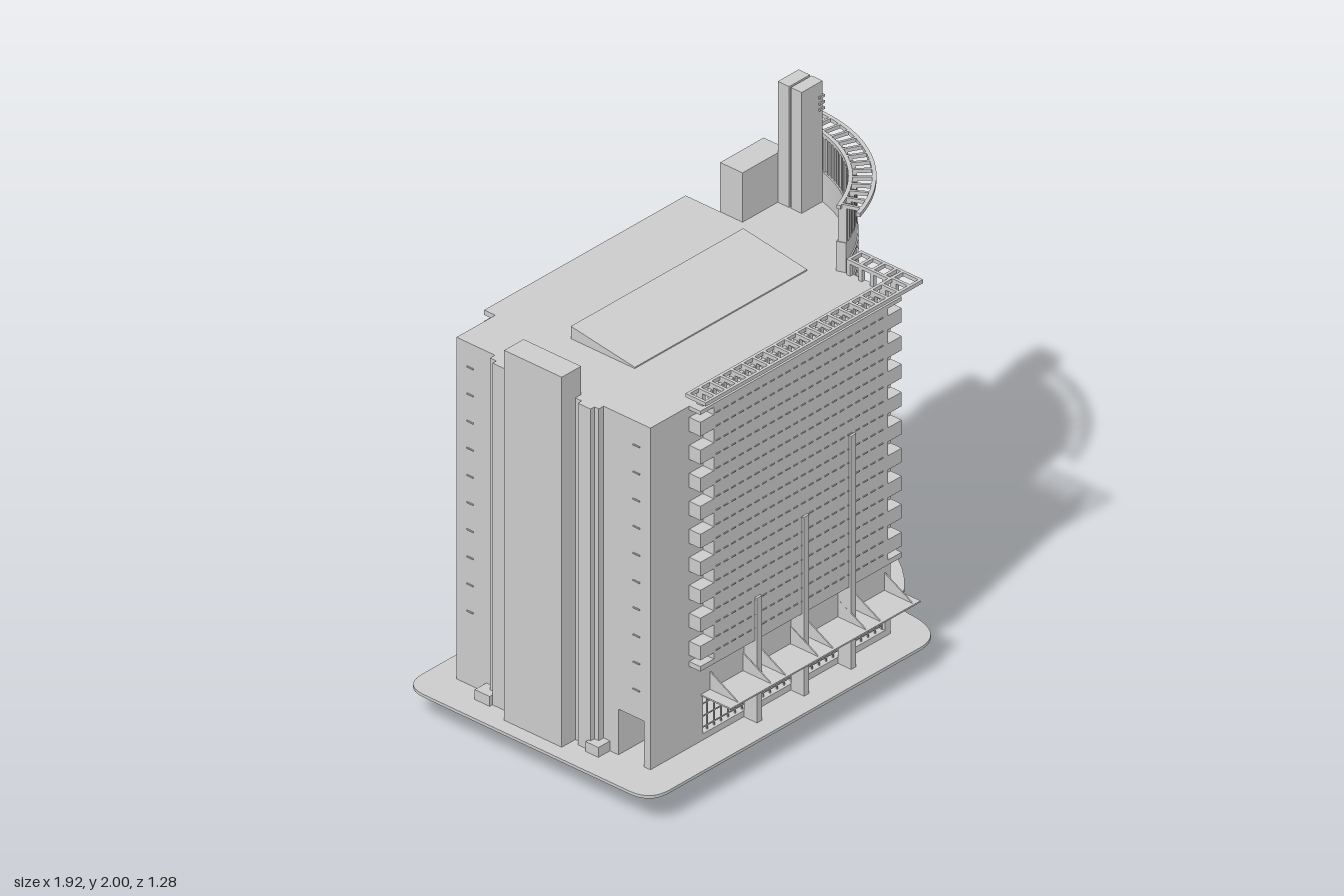
import * as THREE from 'three';
import { mergeGeometries } from 'three/addons/utils/BufferGeometryUtils.js';

const CX = 0.238, CZ = -0.2, WALL = 0.532; // centre and radius of the curved tower
const DEG = Math.PI / 180;

// box given by its min and max corners
function box(x0, x1, y0, y1, z0, z1) {
  return new THREE.BoxGeometry(x1 - x0, y1 - y0, z1 - z0)
    .translate((x0 + x1) / 2, (y0 + y1) / 2, (z0 + z1) / 2);
}

// plan shape (drawn with y = -z) raised from y0 to y1
function prism(shape, y0, y1, seg = 24) {
  return new THREE.ExtrudeGeometry(shape, { depth: y1 - y0, bevelEnabled: false, curveSegments: seg })
    .rotateX(-Math.PI / 2).translate(0, y0, 0);
}

// ring sector about the tower centre, angles from +x towards +z
function arcBand(r0, r1, a0, a1, y0, y1) {
  const s = new THREE.Shape();
  s.absarc(CX, -CZ, r1, -a0 * DEG, -a1 * DEG, true);
  s.absarc(CX, -CZ, r0, -a1 * DEG, -a0 * DEG, false);
  return prism(s, y0, y1);
}

// turn a piece modelled along +x from the origin to an angle on the tower
function onArc(geo, deg) {
  return geo.rotateY(-deg * DEG).translate(CX, 0, CZ);
}

// flat upright plate: outline in (u, y), thickness t, u along +x
function plate(pts, t) {
  const s = new THREE.Shape(pts.map(p => new THREE.Vector2(...p)));
  return new THREE.ExtrudeGeometry(s, { depth: t, bevelEnabled: false }).translate(0, 0, -t / 2);
}

function roundedRect(x0, x1, y0, y1, r) {
  const s = new THREE.Shape();
  s.absarc(x1 - r, y1 - r, r, 0, Math.PI / 2);
  s.absarc(x0 + r, y1 - r, r, Math.PI / 2, Math.PI);
  s.absarc(x0 + r, y0 + r, r, Math.PI, Math.PI * 1.5);
  s.absarc(x1 - r, y0 + r, r, Math.PI * 1.5, Math.PI * 2);
  return s;
}

export function createModel() {
  const root = new THREE.Group();
  const mat = new THREE.MeshStandardMaterial({ color: 0xcccccc, flatShading: true, side: THREE.DoubleSide });
  const add = (name, ...geos) => {
    const m = new THREE.Mesh(mergeGeometries(geos.map(g => g.index ? g.toNonIndexed() : g)), mat);
    m.name = name;
    root.add(m);
  };

  // paved base with a rounded lobe around the tower
  const b = new THREE.Shape();
  b.moveTo(-0.965, 0.42);
  b.quadraticCurveTo(-0.965, 0.52, -0.865, 0.52);
  b.lineTo(0.43, 0.52);
  b.lineTo(0.43, 0.35);
  b.lineTo(0.86, 0.35);
  b.quadraticCurveTo(0.96, 0.35, 0.957, 0.24);
  b.bezierCurveTo(0.94, 0, 0.82, -0.26, 0.63, -0.37);
  b.quadraticCurveTo(0.57, -0.40, 0.57, -0.47);
  b.quadraticCurveTo(0.56, -0.63, 0.44, -0.64);
  b.lineTo(-0.865, -0.64);
  b.quadraticCurveTo(-0.965, -0.64, -0.965, -0.54);
  add('base', prism(b, 0.113, 0.125, 10));

  // main block over an open lobby, with solid end rooms and piers
  add('mainBlock', box(-0.81, 0.43, 0.31, 1.51, -0.41, 0.50));
  add('lobbyWalls',
    box(-0.81, -0.54, 0.12, 0.31, -0.41, 0.35), box(-0.81, -0.54, 0.12, 0.31, 0.47, 0.50),
    box(0.40, 0.43, 0.12, 0.31, -0.41, -0.18), box(0.40, 0.43, 0.12, 0.31, 0.47, 0.50));

  // projecting bays with toothed edges, sills, fins, awnings and lobby glazing
  for (const side of [1, -1]) {
    const wall = side > 0 ? 0.50 : -0.41, tag = side > 0 ? 'front' : 'back';
    const out = side > 0 ? 0.14 : 0.15;
    const sb = (x0, x1, y0, y1, d0, d1) => {
      const a = wall + side * d0, c = wall + side * d1;
      return box(x0, x1, y0, y1, Math.min(a, c), Math.max(a, c));
    };
    const bay = [sb(-0.54, 0.36, 0.47, 1.51, -0.01, 0.052)], sills = [];
    for (let i = 0; i < 9; i++) {
      const y = 0.50 + i * 0.1135;
      bay.push(sb(-0.61, -0.54, y, y + 0.057, -0.01, 0.052), sb(0.36, 0.43, y, y + 0.057, -0.01, 0.052));
      for (const dy of [0.005, 0.06])
        for (let k = 0; k < 22; k++)
          sills.push(sb(-0.53 + k * 0.04, -0.508 + k * 0.04, y + dy, y + dy + 0.004, 0.05, 0.055));
    }
    bay.push(sb(-0.61, 0.43, 0.455, 0.475, -0.01, 0.052));
    if (side > 0) bay.push(sb(-0.61, 0.43, 1.495, 1.51, -0.01, 0.052));
    else bay.push(sb(-0.61, 0.43, 1.49, 1.51, -0.01, 0.052));
    add(tag + 'Bay', ...bay);
    add(tag + 'Sills', ...sills);

    const tops = [0.63, 0.85, 1.07];
    add(tag + 'Fins', ...tops.map((h, i) => {
      const x = -0.315 + i * 0.243;
      return sb(x - 0.013, x + 0.013, 0.12, h, 0, 0.062);
    }));

    const awning = [sb(-0.55, 0.43, 0.308, 0.314, 0, out)];
    for (const x of [-0.5, -0.33, -0.255, -0.085, -0.01, 0.16, 0.235, 0.40])
      awning.push(plate([[0, 0.31], [out, 0.31], [0, 0.385]], 0.005)
        .rotateY(-side * Math.PI / 2).translate(x, 0, wall));
    add(tag + 'Awning', ...awning);

    const glazing = [sb(-0.54, 0.40, 0.12, 0.15, -0.03, 0)];
    for (const y of [0.165, 0.21, 0.26]) glazing.push(sb(-0.54, 0.40, y, y + 0.004, -0.014, -0.01));
    for (let i = 0; i <= 26; i++) {
      const x = -0.54 + i * 0.0361;
      glazing.push(sb(x - 0.002, x + 0.002, 0.12, 0.31, -0.015, -0.01));
    }
    add(tag + 'LobbyGlazing', ...glazing);
  }

  // left service shaft with stepped shoulders and a taller cap
  add('leftShaft', box(-0.905, -0.81, 0.12, 1.51, -0.10, 0.17), box(-0.905, -0.805, 1.51, 1.625, -0.10, 0.17));
  add('leftShoulders', box(-0.855, -0.81, 0.12, 1.51, -0.20, -0.13), box(-0.855, -0.81, 0.12, 1.51, 0.20, 0.26),
    box(-0.835, -0.81, 0.12, 1.51, -0.23, 0.28));
  add('leftSteps', box(-0.87, -0.81, 0.12, 0.165, -0.27, -0.20), box(-0.87, -0.81, 0.12, 0.165, 0.25, 0.31));
  const slits = [];
  for (let i = 0; i < 10; i++)
    for (const z of [-0.36, 0.42]) slits.push(box(-0.814, -0.807, 0.42 + i * 0.11, 0.425 + i * 0.11, z, z + 0.03));
  add('leftSills', ...slits);

  // roof skylight, sloping down to the front
  add('skylight', plate([[-0.19, 1.51], [0.11, 1.51], [0.11, 1.56], [-0.19, 1.515]], 0.89)
    .rotateY(Math.PI / 2).translate(-0.105, 0, 0));

  // roof trellis along the front, returning along the right side
  const tr = [box(-0.635, 0.487, 1.56, 1.575, 0.505, 0.517), box(-0.635, 0.487, 1.56, 1.575, 0.588, 0.60),
    box(0.41, 0.422, 1.56, 1.575, 0.31, 0.51), box(0.475, 0.487, 1.56, 1.575, 0.31, 0.60),
    box(-0.54, 0.34, 1.535, 1.55, 0.515, 0.53)];
  for (let i = 0; i <= 20; i++) {
    const x = -0.635 + i * 0.0555;
    tr.push(box(x, x + 0.012, 1.56, 1.575, 0.51, 0.595));
    if (i > 0 && i < 20) tr.push(box(x, x + 0.016, 1.51, 1.56, 0.507, 0.535));
  }
  for (let i = 0; i < 4; i++) {
    const z = 0.31 + i * 0.055;
    tr.push(box(0.41, 0.487, 1.56, 1.575, z, z + 0.012), box(0.412, 0.428, 1.51, 1.56, z, z + 0.016));
  }
  add('roofTrellis', ...tr);

  // curved tower body and parapet
  const t = new THREE.Shape();
  t.moveTo(0.42, 0.2);
  t.lineTo(CX + WALL, 0.2);
  t.absarc(CX, -CZ, WALL, 0, -70 * DEG, true);
  add('towerBody', prism(t, 0.31, 1.51, 32));
  add('towerParapet', arcBand(0.495, WALL, 0, 70, 1.51, 1.63));
  const ledges = [];
  for (let i = 0; i < 21; i++) {
    const y = 0.55 + i * 0.05;
    ledges.push(arcBand(WALL - 0.01, WALL + 0.005, 0, 69, y, y + 0.006));
  }
  add('towerLedges', ...ledges);

  // crown: upright slats below a ladder-like ring
  const crown = [arcBand(0.50, 0.515, -3, 71, 1.768, 1.783), arcBand(0.583, 0.598, -3, 73, 1.768, 1.783)];
  for (let i = 0; i <= 26; i++) {
    const a = 0.8 + i * 2.63;
    crown.push(onArc(box(0.50, WALL, 1.63, 1.77, -0.005, 0.005), a));
    if (i % 2 === 0) crown.push(onArc(box(0.505, 0.59, 1.768, 1.783, -0.005, 0.005), a));
  }
  add('towerCrown', ...crown);

  // tower entrance: plinth, glazing bars, canopy and tapered buttresses
  const lobby = [arcBand(0.44, 0.56, 0, 70, 0.12, 0.14)];
  for (const y of [0.17, 0.25]) lobby.push(arcBand(0.475, 0.48, 0, 70, y, y + 0.004));
  for (let i = 0; i <= 16; i++) lobby.push(onArc(box(0.474, 0.481, 0.12, 0.31, -0.003, 0.003), i * 4.35));
  lobby.push(box(0.51, 0.59, 0.12, 0.26, -0.2, -0.1));
  add('towerLobby', ...lobby);
  add('towerCanopy', arcBand(0.52, 0.645, 0, 67, 0.307, 0.315));
  const butt = [], struts = [];
  for (const a of [0.5, 22, 46, 71]) {
    butt.push(onArc(plate([[0.535, 0.12], [0.60, 0.12], [0.562, 0.49], [0.53, 0.49]], 0.026), a));
    for (const d of [-5, 5])
      if (a + d > 0 && a + d < 70) struts.push(onArc(plate([[0.53, 0.31], [0.645, 0.31], [0.53, 0.38]], 0.004), a + d));
  }
  add('buttresses', ...butt);
  add('canopyBrackets', ...struts);

  // stair tower behind the curve, reaching below the base
  add('stairTower', box(0.43, 0.655, 0, 1.71, -0.30, -0.195));
  add('sideWing', box(0.655, 0.77, 0.12, 1.51, -0.215, -0.19));

  // chimney in two halves with short rungs
  add('chimney', box(0.612, 0.72, 0.31, 2, -0.134, -0.083), box(0.612, 0.72, 0.31, 2, -0.195, -0.142),
    box(0.62, 0.71, 1.5, 1.99, -0.145, -0.13));
  add('chimneyRungs', ...[1.885, 1.91, 1.935].map(y => box(0.70, 0.727, y, y + 0.009, -0.20, -0.078)));

  // rear ramp with its low wall and supports
  add('rearRamp', prism(roundedRect(0.335, 0.695, 0.54, 0.645, 0.03), 0.12, 0.128, 6),
    box(0.40, 0.655, 0.128, 0.155, -0.597, -0.585), box(0.335, 0.42, 0.125, 0.155, -0.60, -0.46));
  add('rampSupports', box(0.41, 0.655, 0, 0.12, -0.575, -0.535), box(0.43, 0.655, 0, 0.12, -0.35, -0.30));

  return root;
}
